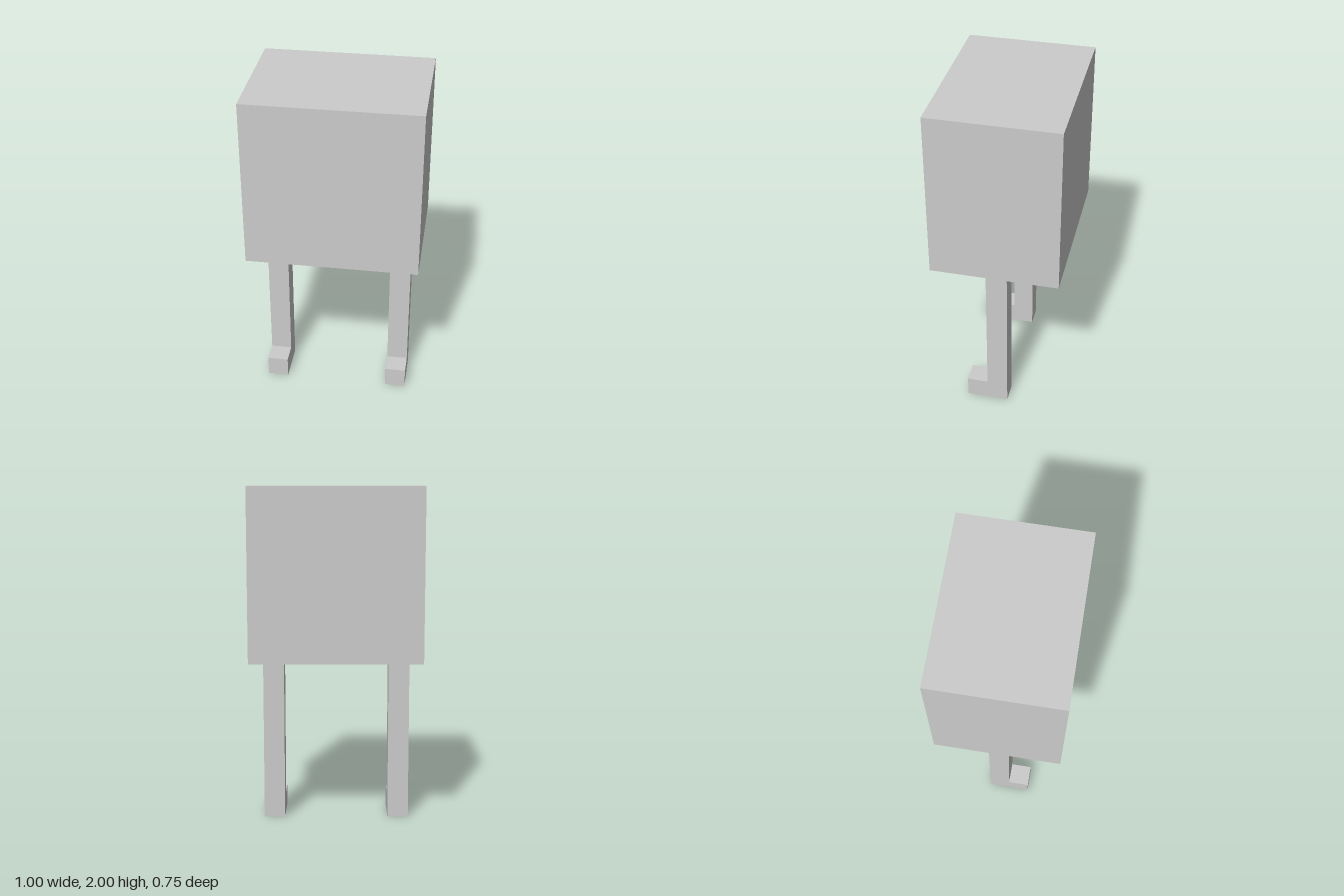
import * as THREE from 'three';

export function createModel() {
  const model = new THREE.Group();
  const material = new THREE.MeshStandardMaterial({ color: 0xcccccc, flatShading: true });
  const T = 0.125; // leg thickness

  // Box body
  const body = new THREE.Mesh(new THREE.BoxGeometry(1, 1, 0.75), material);
  body.name = 'body';
  body.position.y = 1.5;
  model.add(body);

  // L-shaped leg with a forward foot: profile in (z, y), extruded across x
  const profile = new THREE.Shape([
    [-T / 2, 0], [1.5 * T, 0], [1.5 * T, T], [T / 2, T], [T / 2, 1], [-T / 2, 1],
  ].map(([z, y]) => new THREE.Vector2(z, y)));
  const legGeometry = new THREE.ExtrudeGeometry(profile, { depth: T, bevelEnabled: false });
  legGeometry.translate(0, 0, -T / 2).rotateY(-Math.PI / 2);

  for (const [name, side] of [['leftLeg', 1], ['rightLeg', -1]]) {
    const leg = new THREE.Mesh(legGeometry, material);
    leg.name = name;
    leg.position.x = side * 0.375;
    model.add(leg);
  }

  return model;
}
